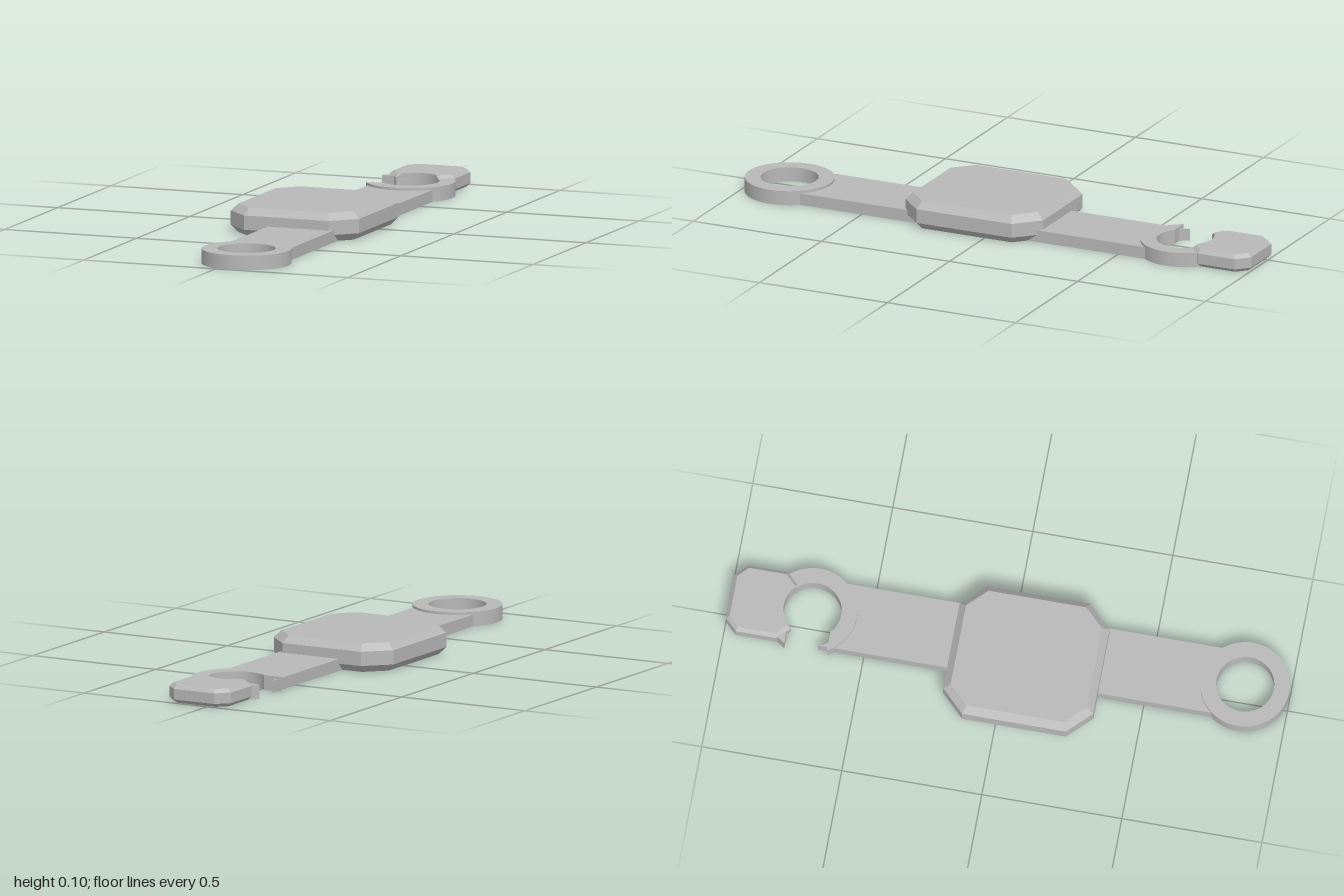
import * as THREE from 'three';
import { mergeGeometries } from 'three/addons/utils/BufferGeometryUtils.js';

const AXIS_X = 0.053;          // centre line of strap, ring and hook
const RING_Z = 0.84, HOOK_Z = -0.705;
const OUTER = 0.158, INNER = 0.102, RING_H = 0.052;
const BODY_Z = 0.068;

// Shapes are drawn in plan with shape y = -z, then stood up on y = 0
function slab(shape, height) {
  return new THREE.ExtrudeGeometry(shape, { depth: height, bevelEnabled: false, curveSegments: 48 })
    .rotateX(-Math.PI / 2);
}

// Stack counter-clockwise outlines at given heights; optional round hole in the floor
function loft(outline, levels, floorHole) {
  const loops = levels.map(([inset]) => outline(inset));
  const pos = [];
  for (let k = 0; k + 1 < levels.length; k++) {
    const lo = loops[k], hi = loops[k + 1], n = lo.length;
    for (let i = 0; i < n; i++) {
      const j = (i + 1) % n;
      const a = [lo[i].x, lo[i].y, levels[k][1]], b = [lo[j].x, lo[j].y, levels[k][1]];
      const c = [hi[j].x, hi[j].y, levels[k + 1][1]], d = [hi[i].x, hi[i].y, levels[k + 1][1]];
      pos.push(...a, ...b, ...c, ...a, ...c, ...d);
    }
  }
  const sides = new THREE.BufferGeometry();
  sides.setAttribute('position', new THREE.Float32BufferAttribute(pos, 3));
  const cap = (loop, y, hole, flip) => {
    const shape = new THREE.Shape(loop);
    if (hole) shape.holes.push(hole);
    const g = new THREE.ShapeGeometry(shape, 48);
    if (flip) g.setIndex([...g.index.array].reverse());
    const flat = g.translate(0, 0, y).toNonIndexed();
    flat.deleteAttribute('uv');
    flat.deleteAttribute('normal');
    return flat;
  };
  const last = levels.length - 1;
  const geo = mergeGeometries([
    sides,
    cap(loops[0], levels[0][1], floorHole, true),
    cap(loops[last], levels[last][1], null, false),
  ]);
  geo.computeVertexNormals();
  return geo.rotateX(-Math.PI / 2);
}

// Rectangle with cut corners, shrunk evenly by inset
function octagon(hx, hy, cut, inset) {
  const x = hx - inset, y = hy - inset, c = cut - inset * (2 - Math.SQRT2);
  return [[-x + c, -y], [x - c, -y], [x, -y + c], [x, y - c], [x - c, y], [-x + c, y], [-x, y - c], [-x, -y + c]]
    .map(([px, py]) => new THREE.Vector2(px, py));
}

// Pull tab outline about the hook centre, with a round bite on the near side
function tabOutline(inset) {
  const x = 0.125 - inset, far = 0.295 - inset, near = 0.065 + inset, c = 0.043 - inset * 0.586;
  const start = Math.asin(near / INNER), pts = [];
  for (let i = 0; i <= 20; i++) {
    const t = Math.PI - start + (i / 20) * (2 * start - Math.PI);
    pts.push(new THREE.Vector2(INNER * Math.cos(t), INNER * Math.sin(t)));
  }
  for (const [px, py] of [[x - c, near], [x, near + c], [x, far - c], [x - c, far],
    [-x + c, far], [-x, far - c], [-x, near + c], [-x + c, near]]) pts.push(new THREE.Vector2(px, py));
  return pts;
}

export function createModel() {
  const model = new THREE.Group();
  const grey = new THREE.MeshStandardMaterial({ color: 0xb8b8b8 });
  grey.name = 'grey';
  const add = (name, geo, x, y, z, material = grey) => {
    const mesh = new THREE.Mesh(geo, material);
    mesh.name = name;
    mesh.position.set(x, y, z);
    model.add(mesh);
    return mesh;
  };

  // Chamfered body with a round pocket underneath
  const pocketR = 0.17, pocketH = 0.075;
  const pocket = new THREE.Path().absarc(0, 0, pocketR, 0, Math.PI * 2, true);
  add('body', loft(i => octagon(0.243, 0.268, 0.083, i),
    [[0.025, 0], [0, 0.026], [0, 0.077], [0.025, 0.102]], pocket), 0, 0, BODY_Z);
  const wall = new THREE.CylinderGeometry(pocketR, pocketR, pocketH, 64, 1, true);
  wall.scale(-1, 1, 1);   // mirrored so the wall faces inward
  wall.attributes.normal.array.forEach((v, i, a) => { if (i % 3 !== 1) a[i] = -Math.abs(v) * Math.sign(wall.attributes.position.array[i]); });
  add('pocketWall', wall, 0, pocketH / 2, BODY_Z);
  add('pocketCeiling', new THREE.CircleGeometry(pocketR, 64).rotateX(Math.PI / 2), 0, pocketH, BODY_Z);

  // Two strap halves, each ending in a curve inside its ring
  const half = 0.123, r = 0.13, t = Math.acos(half / r);
  const strap = new THREE.Shape();
  strap.moveTo(-half, -0.575).lineTo(half, -0.575);
  strap.absarc(0, 0, r, -t, -Math.PI + t, true);
  const strapGeo = slab(strap, 0.043);
  add('backStrap', strapGeo, AXIS_X, 0, HOOK_Z);
  add('frontStrap', strapGeo, AXIS_X, 0, RING_Z).rotation.y = Math.PI;

  // Closed ring at the front
  const ring = new THREE.Shape().absarc(0, 0, OUTER, 0, Math.PI * 2, false);
  ring.holes.push(new THREE.Path().absarc(0, 0, INNER, 0, Math.PI * 2, true));
  add('ring', slab(ring, RING_H), AXIS_X, 0, RING_Z);

  // Open hook at the back, with a parallel slot on its right side
  const slot = 0.076, ao = Math.PI - Math.asin(slot / OUTER), ai = Math.PI - Math.asin(slot / INNER);
  const hook = new THREE.Shape();
  hook.absarc(0, 0, OUTER, -ao, ao, false);
  hook.absarc(0, 0, INNER, ai, -ai, true);
  add('hook', slab(hook, RING_H), AXIS_X, 0, HOOK_Z);

  // Chamfered pull tab beyond the hook
  add('pullTab', loft(tabOutline, [[0.013, 0], [0, 0.013], [0, 0.051], [0.013, 0.064]]), AXIS_X, 0, HOOK_Z);

  return model;
}
